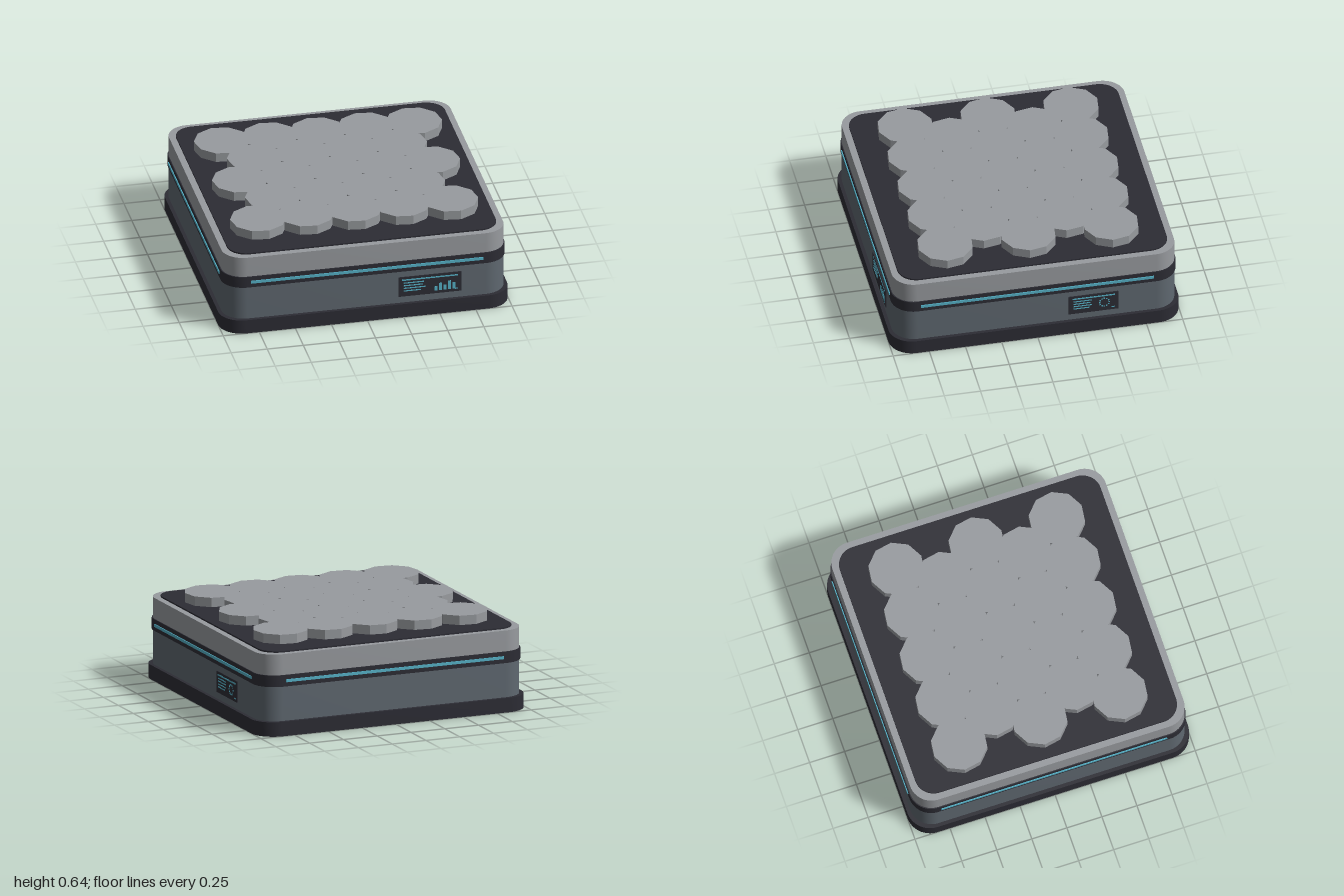
import * as THREE from 'three';
import { toCreasedNormals } from 'three/addons/utils/BufferGeometryUtils.js';

const mat = (name, color) => new THREE.MeshStandardMaterial({ name, color });

export function createModel() {
  const charcoal = mat('charcoal', 0x2c2c34);
  const slate = mat('slate', 0x5f6870);
  const lightGrey = mat('lightGrey', 0x989b9f);
  const teal = mat('teal', 0x56b2c8);

  const root = new THREE.Group();
  root.name = 'modularPad';

  const add = (parent, name, geometry, material, x = 0, y = 0, z = 0) => {
    const mesh = new THREE.Mesh(geometry, material);
    mesh.name = name;
    mesh.position.set(x, y, z);
    parent.add(mesh);
    return mesh;
  };

  // Square slab with rounded vertical corners: half width h, corner radius r
  const slab = (name, h, r, y0, y1, material) => {
    const s = new THREE.Shape();
    s.moveTo(h, r - h);
    s.absarc(h - r, h - r, r, 0, Math.PI / 2);
    s.absarc(r - h, h - r, r, Math.PI / 2, Math.PI);
    s.absarc(r - h, r - h, r, Math.PI, Math.PI * 1.5);
    s.absarc(h - r, r - h, r, Math.PI * 1.5, Math.PI * 2);
    const g = new THREE.ExtrudeGeometry(s, { depth: y1 - y0, bevelEnabled: false, curveSegments: 8 });
    g.rotateX(-Math.PI / 2);
    add(root, name, toCreasedNormals(g, 0.6), material, 0, y0, 0);
  };

  // Stacked housing
  slab('base', 1, 0.16, 0, 0.1, charcoal);
  slab('lowerBody', 0.975, 0.15, 0.1, 0.34, slate);
  slab('band', 0.982, 0.155, 0.34, 0.42, charcoal);
  slab('upperBody', 0.975, 0.15, 0.42, 0.565, lightGrey);
  slab('topPlate', 0.93, 0.13, 0.565, 0.575, charcoal);

  // Light strip on each of the four sides
  for (let i = 0; i < 4; i++) {
    const side = new THREE.Group();
    side.name = 'lightStripSide';
    side.rotation.y = i * Math.PI / 2;
    add(side, 'lightStrip', new THREE.BoxGeometry(1.61, 0.02, 0.01), teal, 0, 0.38, 0.983);
    root.add(side);
  }

  // Staggered ten-sided pads: rows of five and four
  const padGeometry = new THREE.CylinderGeometry(0.192, 0.192, 0.065, 10, 1, false,
    THREE.MathUtils.degToRad(83)).toNonIndexed();
  padGeometry.computeVertexNormals();
  const pads = new THREE.Group();
  pads.name = 'pads';
  root.add(pads);
  for (let row = -2; row <= 2; row++) {
    const count = row % 2 ? 4 : 5;
    for (let i = 0; i < count; i++) {
      add(pads, 'pad', padGeometry, lightGrey, (i - (count - 1) / 2) * 0.332, 0.6075, row * 0.286);
    }
  }

  // Display panel with header, text lines and corner dash
  const display = (name, x0, x1, textX, lineEnds, turn) => {
    const g = new THREE.Group();
    g.name = name;
    g.rotation.y = turn;
    root.add(g);
    const mark = (part, a, b, c, d) =>
      add(g, part, new THREE.BoxGeometry(b - a, d - c, 0.003), teal, (a + b) / 2, (c + d) / 2, 0.981);
    add(g, 'screen', new THREE.BoxGeometry(x1 - x0, 0.147, 0.008), charcoal, (x0 + x1) / 2, 0.222, 0.977);
    mark('headerLine', x0 + 0.024, x1 - 0.024, 0.268, 0.278);
    lineEnds.forEach((end, i) => mark('textLine', textX, end, 0.246 - i * 0.02, 0.254 - i * 0.02));
    mark('cornerDash', x1 - 0.046, x1 - 0.026, 0.167, 0.175);
    return mark;
  };

  // Front display with bar chart
  const frontMark = display('frontDisplay', 0.218, 0.655, 0.254, [0.395, 0.388, 0.403, 0.372], 0);
  [0.032, 0.055, 0.038, 0.066, 0.05].forEach((h, i) => {
    const x = 0.468 + i * 0.031;
    frontMark('chartBar', x, x + 0.021, 0.17, 0.17 + h);
  });

  // Side display with dotted ring
  const sideMark = display('sideDisplay', 0.217, 0.559, 0.249, [0.377, 0.366, 0.377, 0.36], Math.PI / 2);
  for (let i = 0; i < 12; i++) {
    const a = i * Math.PI / 6;
    const x = 0.463 + Math.cos(a) * 0.033, y = 0.217 + Math.sin(a) * 0.033;
    sideMark('ringDot', x - 0.005, x + 0.005, y - 0.005, y + 0.005);
  }

  return root;
}
